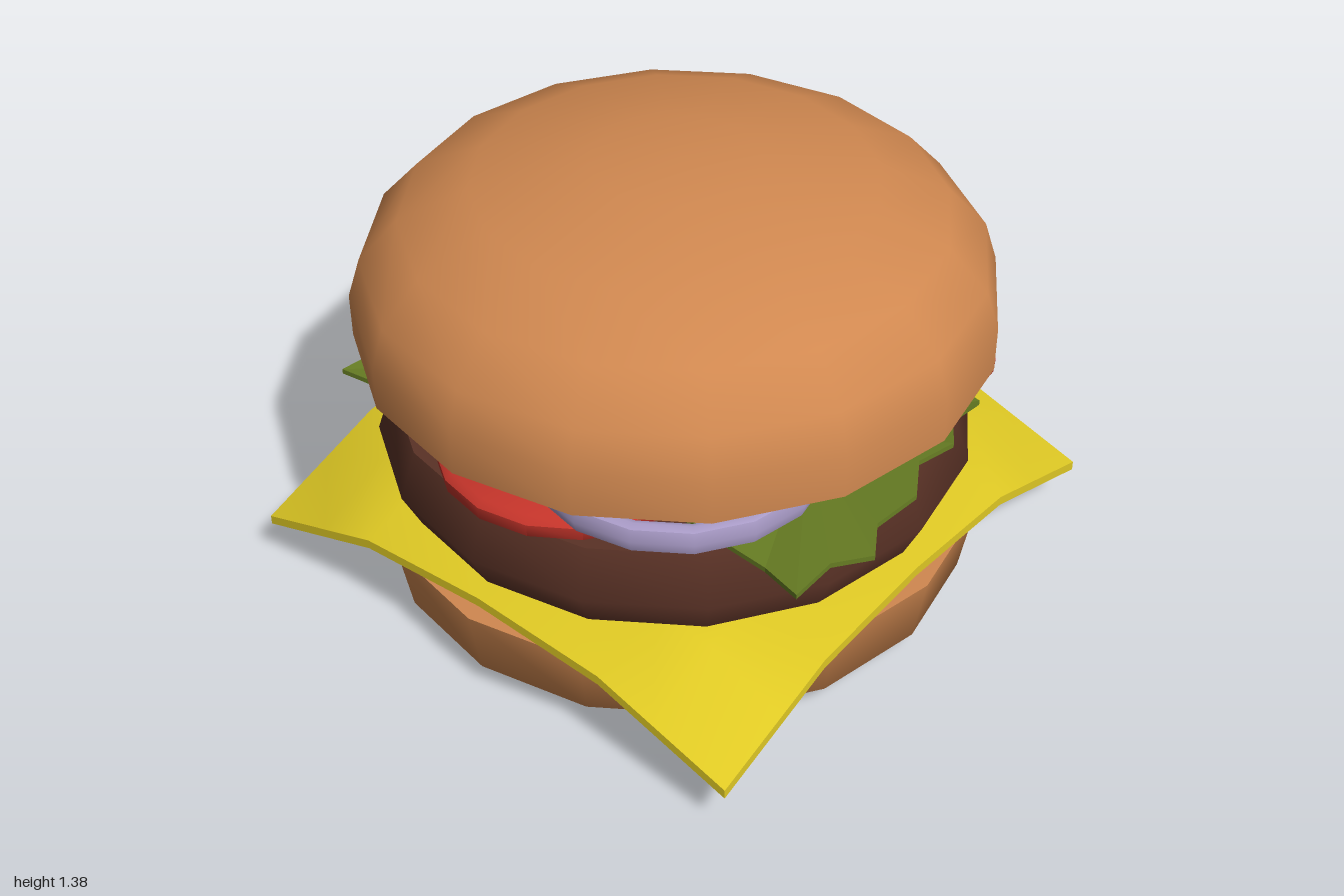
import * as THREE from 'three';
import { toCreasedNormals } from 'three/addons/utils/BufferGeometryUtils.js';

const mat = (name, color, side = THREE.FrontSide) => {
  const m = new THREE.MeshStandardMaterial({ color, side });
  m.name = name;
  return m;
};

// Turned part from [radius, y] points, listed from the bottom up
function turned(name, points, material, x, y, z, normal = [0, 1, 0], segments = 16) {
  const lathe = new THREE.LatheGeometry(points.map(p => new THREE.Vector2(...p)), segments);
  const mesh = new THREE.Mesh(toCreasedNormals(lathe, 0.9), material);
  mesh.name = name;
  mesh.position.set(x, y, z);
  mesh.quaternion.setFromUnitVectors(new THREE.Vector3(0, 1, 0), new THREE.Vector3(...normal).normalize());
  return mesh;
}

// Square slice whose corners hang down
function cheeseSlice(material) {
  const steps = [-1, -0.72, -0.5, 0, 0.5, 0.72, 1], half = 0.888, thick = 0.03;
  const geo = new THREE.BoxGeometry(6, 1, 6, 6, 1, 6);
  const pos = geo.attributes.position;
  for (let i = 0; i < pos.count; i++) {
    const u = steps[Math.round(pos.getX(i) + 3)], v = steps[Math.round(pos.getZ(i) + 3)];
    const a = Math.abs(u), b = Math.abs(v);
    const edge = Math.max(0, (Math.max(a, b) - 0.72) / 0.28);
    const corner = Math.max(0, (a + b - 1.4) / 0.6);
    const top = 0.375 - 0.03 * edge - 0.175 * corner;
    pos.setXYZ(i, u * half, pos.getY(i) > 0 ? top : top - thick, v * half);
  }
  geo.computeVertexNormals();
  const mesh = new THREE.Mesh(geo, material);
  mesh.name = 'cheeseSlice';
  mesh.position.set(-0.057, 0, -0.022);
  return mesh;
}

// Jagged leaf: a thin closed fan from a centre to an outline of [x, y, z] points
function leaf(name, centre, outline, material) {
  const thick = 0.016, n = outline.length, v = [];
  const low = p => [p[0], p[1] - thick, p[2]];
  for (let i = 0; i < n; i++) {
    const a = outline[i], b = outline[(i + 1) % n];
    v.push(...centre, ...a, ...b, ...low(centre), ...low(b), ...low(a));
    v.push(...a, ...low(a), ...low(b), ...a, ...low(b), ...b);
  }
  const geo = new THREE.BufferGeometry();
  geo.setAttribute('position', new THREE.Float32BufferAttribute(v, 3));
  geo.computeVertexNormals();
  const mesh = new THREE.Mesh(geo, material);
  mesh.name = name;
  return mesh;
}

export function createModel() {
  const bun = mat('bun', 0xd08850);
  const meat = mat('patty', 0x5a3226);
  const cheese = mat('cheese', 0xe0ca24);
  const lettuce = mat('lettuce', 0x687e24, THREE.DoubleSide);
  const tomato = mat('tomato', 0xc4342a);
  const onion = mat('onion', 0xaa9cc8);
  const group = new THREE.Group();
  group.name = 'burger';
  const cx = -0.057, cz = -0.025;

  // Buns, patty and cheese
  group.add(
    turned('bottomBun', [[0, 0], [0.785, 0], [0.89, 0.08], [0.928, 0.295], [0, 0.295]], bun, cx, 0, cz),
    turned('topBun', [[0, 0.835], [0.943, 0.835], [0.943, 0.97], [0.905, 1.09], [0.79, 1.215],
      [0.585, 1.31], [0.245, 1.37], [0, 1.38]], bun, cx, 0, cz),
    turned('patty', [[0, 0.372], [0.84, 0.375], [0.895, 0.49], [0.845, 0.64], [0, 0.645]], meat, cx - 0.003, 0, cz),
    cheeseSlice(cheese)
  );

  // Lettuce leaves
  group.add(
    leaf('frontLettuce', [-0.1, 0.665, 0.5], [
      [-0.3, 0.66, 0.2], [-0.6, 0.67, 0.45], [-0.62, 0.665, 0.74], [-0.67, 0.685, 0.88], [-0.52, 0.69, 0.88],
      [-0.43, 0.7, 0.96], [-0.32, 0.7, 0.89], [-0.18, 0.725, 0.92], [-0.05, 0.72, 0.84], [0.06, 0.735, 0.88],
      [0.18, 0.71, 0.8], [0.32, 0.69, 0.8], [0.36, 0.67, 0.68], [0.5, 0.665, 0.62], [0.4, 0.66, 0.4], [0.2, 0.66, 0.2]
    ], lettuce),
    leaf('leftLettuce', [0.5, 0.69, -0.02], [
      [0.25, 0.68, -0.2], [0.25, 0.68, 0.2], [0.5, 0.69, 0.28], [0.65, 0.7, 0.22], [0.75, 0.7, 0.27],
      [0.78, 0.69, 0.16], [0.885, 0.68, 0.17], [0.88, 0.665, 0.06], [1, 0.652, -0.04], [0.87, 0.67, -0.13],
      [0.83, 0.71, -0.24], [0.72, 0.7, -0.22], [0.62, 0.73, -0.35], [0.45, 0.7, -0.26]
    ], lettuce),
    leaf('backLettuce', [-0.4, 0.675, -0.4], [
      [-0.2, 0.67, -0.2], [-0.15, 0.67, -0.5], [-0.25, 0.68, -0.62], [-0.35, 0.69, -0.6], [-0.44, 0.68, -0.72],
      [-0.52, 0.68, -0.66], [-0.59, 0.67, -0.75], [-0.71, 0.66, -0.775], [-0.7, 0.67, -0.62],
      [-0.76, 0.68, -0.52], [-0.64, 0.68, -0.44], [-0.64, 0.67, -0.3], [-0.45, 0.67, -0.2]
    ], lettuce)
  );

  // Tomato slices, leaning on each other
  const slice = [[0, -0.037], [0.36, -0.037], [0.385, -0.022], [0.39, 0.018], [0.37, 0.037], [0, 0.037]];
  [['front', 0.26, 0.735, 0.43, [0.12, 1, -0.12]],
    ['back', 0.3, 0.735, -0.5, [0.08, 1, -0.16]],
    ['right', -0.59, 0.705, 0.04, [0.03, 1, 0]]
  ].forEach(([side, x, y, z, n]) => group.add(turned(side + 'Tomato', slice, tomato, x, y, z, n)));

  // Onion rings
  const ring = [[0.385, -0.035], [0.405, -0.043], [0.425, -0.035], [0.435, 0], [0.425, 0.035],
    [0.405, 0.043], [0.385, 0.035], [0.378, 0], [0.385, -0.035]];
  [['right', -0.47, 0.785, 0.32, [0, 1, 0]],
    ['left', 0.4, 0.79, 0.23, [0.03, 1, 0]],
    ['back', -0.25, 0.78, -0.47, [0, 1, -0.03]]
  ].forEach(([side, x, y, z, n]) => group.add(turned(side + 'OnionRing', ring, onion, x, y, z, n)));

  return group;
}
